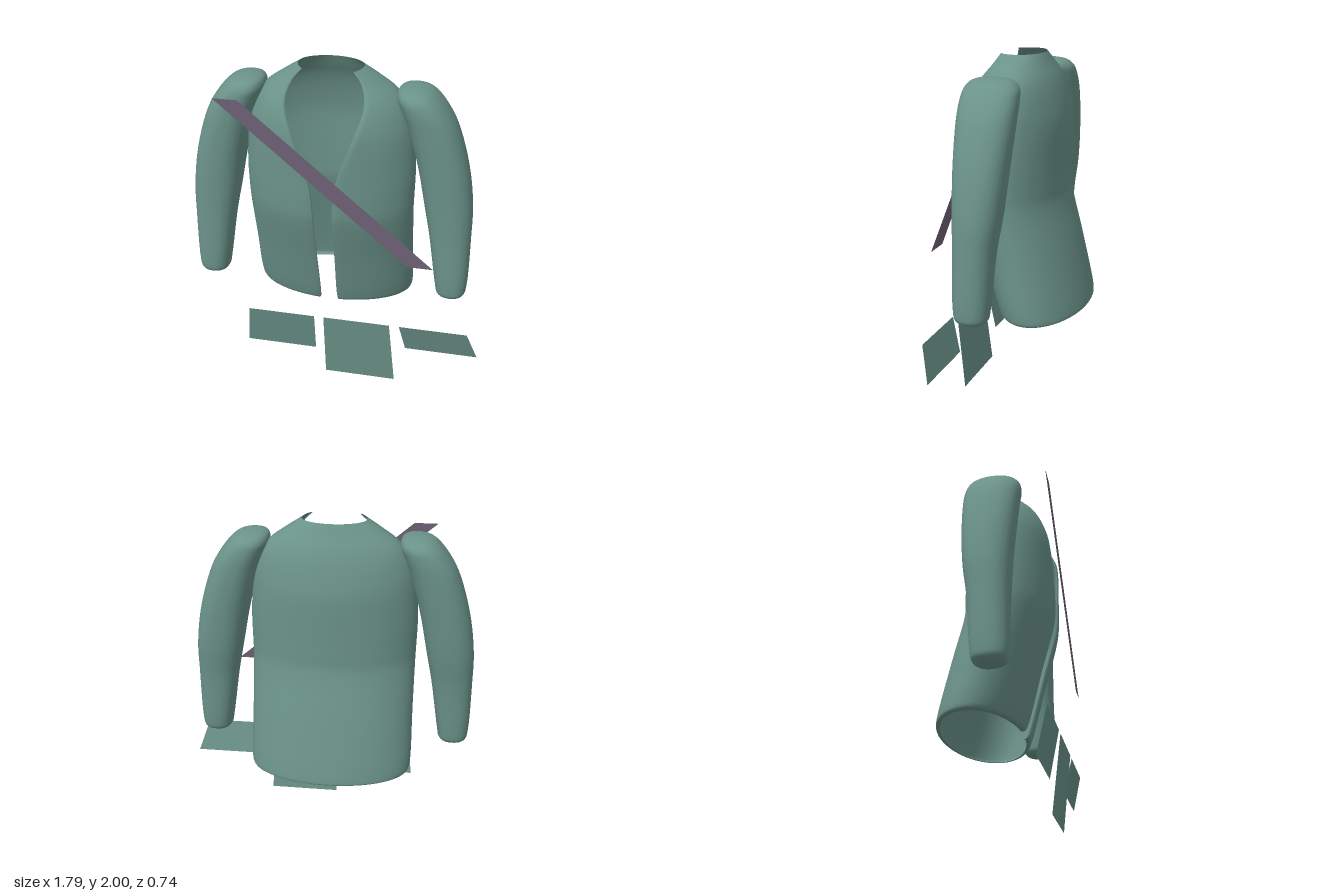
import * as THREE from 'three';
import { mergeVertices } from 'three/addons/utils/BufferGeometryUtils.js';

const CX = -0.055; // centre line of the jacket
const green = new THREE.MeshStandardMaterial({ color: 0x6b938a, side: THREE.DoubleSide });
const purple = new THREE.MeshStandardMaterial({ color: 0x6e6076, side: THREE.DoubleSide });

// Smooth skin through rings of points, listed from bottom to top
function loft(rings, steps) {
  const columns = rings[0].length;
  const rows = (rings.length - 1) * steps;
  const position = [];
  const index = [];
  const curves = rings[0].map((_, c) => new THREE.CatmullRomCurve3(rings.map((ring) => ring[c])));
  for (let r = 0; r <= rows; r++) {
    for (const curve of curves) position.push(...curve.getPoint(r / rows).toArray());
  }
  for (let r = 0; r < rows; r++) {
    for (let c = 0; c < columns - 1; c++) {
      const a = r * columns + c;
      const d = a + columns;
      index.push(a, a + 1, d + 1, a, d + 1, d);
    }
  }
  let geometry = new THREE.BufferGeometry();
  geometry.setAttribute('position', new THREE.Float32BufferAttribute(position, 3));
  geometry.setIndex(index);
  geometry = mergeVertices(geometry, 1e-5);
  geometry.computeVertexNormals();
  return geometry;
}

function addMesh(parent, name, geometry, material) {
  const mesh = new THREE.Mesh(geometry, material);
  mesh.name = name;
  parent.add(mesh);
  return mesh;
}

// Torso sections: height, half width, centre z, front depth, back depth, half opening
const torsoSections = [
  [0.47, 0.455, -0.11, 0.235, 0.235, 0.075],
  [0.475, 0.478, -0.11, 0.255, 0.255, 0.062],
  [0.5, 0.489, -0.103, 0.262, 0.262, 0.055],
  [0.85, 0.49, -0.015, 0.267, 0.272, 0.056],
  [1.15, 0.491, 0.058, 0.274, 0.271, 0.058],
  [1.25, 0.493, 0.065, 0.275, 0.275, 0.062],
  [1.4, 0.494, 0.065, 0.277, 0.275, 0.08],
  [1.6, 0.48, 0.06, 0.285, 0.27, 0.15],
  [1.7, 0.462, 0.05, 0.29, 0.245, 0.187],
  [1.8, 0.425, 0.04, 0.275, 0.21, 0.223],
  [1.87, 0.375, 0.035, 0.245, 0.178, 0.228],
  [1.94, 0.28, 0.035, 0.2, 0.14, 0.2],
  [2.0, 0.185, 0.04, 0.165, 0.115, 0.145],
];

function torsoRing([y, half, cz, front, back, gap]) {
  const start = Math.asin(gap / half);
  const ring = [];
  const n = 72;
  for (let i = -1; i <= n + 1; i++) {
    // the first and last columns turn the front edge inwards
    const k = i < 0 || i > n ? 0.95 : 1;
    const t = THREE.MathUtils.clamp(i / n, 0, 1);
    const a = start + t * (2 * Math.PI - 2 * start);
    const depth = Math.cos(a) > 0 ? front : back;
    ring.push(new THREE.Vector3(CX + half * Math.sin(a) * k, y, cz + depth * Math.cos(a) * k));
  }
  return ring;
}

// Left sleeve sections: height, inner x, outer x, back z, front z
const sleeveSections = [
  [0.585, 0.69, 0.69, 0.09, 0.09],
  [0.588, 0.64, 0.74, 0.035, 0.145],
  [0.61, 0.606, 0.775, 0.0, 0.182],
  [0.66, 0.594, 0.785, -0.012, 0.193],
  [1.0, 0.54, 0.786, -0.04, 0.195],
  [1.2, 0.5, 0.78, -0.07, 0.2],
  [1.45, 0.45, 0.74, -0.092, 0.21],
  [1.7, 0.38, 0.66, -0.106, 0.219],
  [1.8, 0.34, 0.602, -0.105, 0.22],
  [1.86, 0.32, 0.553, -0.094, 0.21],
  [1.895, 0.33, 0.51, -0.06, 0.182],
  [1.911, 0.365, 0.455, 0.0, 0.13],
  [1.915, 0.41, 0.41, 0.06, 0.06],
];

function sleeveRing([y, inner, outer, back, front], side) {
  const ring = [];
  const soft = (v) => Math.sign(v) * Math.abs(v) ** 0.85; // slightly boxy oval
  for (let i = 0; i <= 48; i++) {
    const a = side * ((i % 48) / 48) * Math.PI * 2;
    const x = (inner + outer) / 2 + ((outer - inner) / 2) * soft(side * Math.sin(a));
    const z = (back + front) / 2 + ((front - back) / 2) * soft(Math.cos(a));
    ring.push(new THREE.Vector3(CX + side * (x - CX), y, z));
  }
  return ring.map((_, i) => ring[i]);
}

// Flat four-cornered sheet, level at top and bottom
function sheet([topL, topR, topY, topZ], [lowL, lowR, lowY, lowZ]) {
  const geometry = new THREE.BufferGeometry();
  geometry.setAttribute('position', new THREE.Float32BufferAttribute([
    lowL, lowY, lowZ, lowR, lowY, lowZ, topR, topY, topZ, topL, topY, topZ,
  ], 3));
  geometry.setIndex([0, 1, 2, 0, 2, 3]);
  geometry.computeVertexNormals();
  return geometry;
}

export function createModel() {
  const model = new THREE.Group();
  model.name = 'jacket';

  // Open-fronted body
  addMesh(model, 'jacketBody', loft(torsoSections.map(torsoRing), 5), green);

  // Sleeves, mirrored about the jacket's centre line
  for (const [name, side] of [['leftSleeve', 1], ['rightSleeve', -1]]) {
    addMesh(model, name, loft(sleeveSections.map((s) => sleeveRing(s, side)), 5), green);
  }

  // Diagonal strap in front of the chest
  addMesh(model, 'chestStrap', sheet([-0.64, -0.5, 1.885, 0.375], [0.45, 0.597, 0.938, 0.375]), purple);

  // Loose cloth panels below the hem: top edge, then bottom edge
  const panels = [
    ['rightHemPanel', [-0.52, -0.11], [-0.555, -0.115], 0.18],
    ['middleHemPanel', [-0.052, 0.353], [-0.052, 0.388], 0],
    ['leftHemPanel', [0.413, 0.82], [0.45, 0.89], 0.265],
  ];
  for (const [name, top, low, y] of panels) {
    addMesh(model, name, sheet([...top, 0.47, 0.338], [...low, y, 0.28]), green);
  }
  return model;
}
